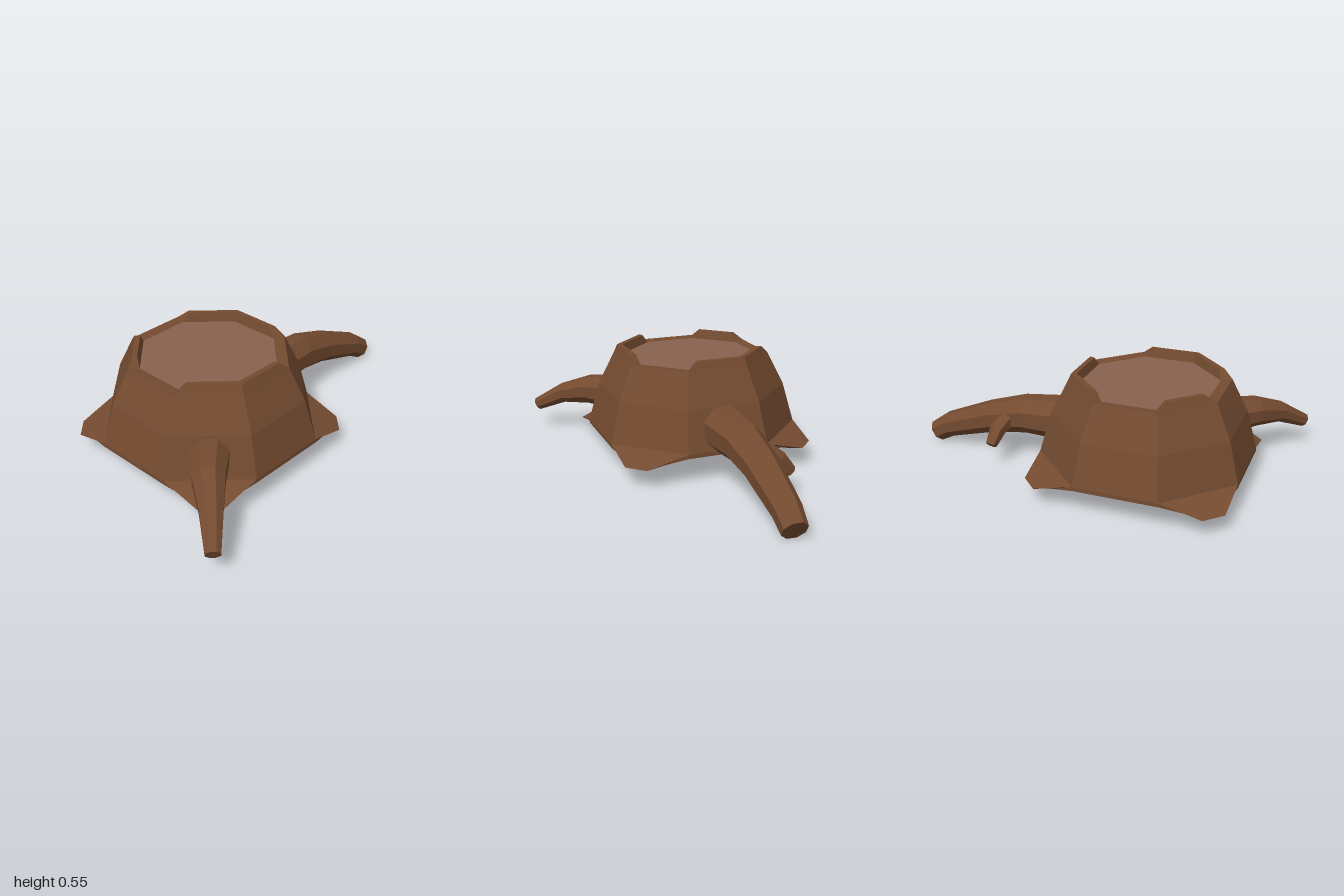
import * as THREE from 'three';

const bark = new THREE.MeshStandardMaterial({ color: 0x744b30, flatShading: true, side: THREE.DoubleSide });
bark.name = 'bark';
const wood = new THREE.MeshStandardMaterial({ color: 0x87634e, flatShading: true, side: THREE.DoubleSide });
wood.name = 'cutWood';

const CX = -0.23, CZ = -0.04, STEP = Math.PI / 4;
const corner = k => Math.PI / 6 + k * STEP;
// point on the octagonal stump: corner number, radius, height
const P = (k, r, y) => new THREE.Vector3(CX + r * Math.cos(corner(k)), y, CZ + r * Math.sin(corner(k)));

// faceted surface from convex polygons (each fanned into triangles)
function faceted(name, polygons, material) {
  const pts = [];
  for (const p of polygons)
    for (let i = 1; i < p.length - 1; i++) pts.push(p[0], p[i], p[i + 1]);
  const g = new THREE.BufferGeometry().setFromPoints(pts);
  g.computeVertexNormals();
  const m = new THREE.Mesh(g, material);
  m.name = name;
  return m;
}

// tapered eight-sided root through [x, y, z, radius] stations, open at the start, capped at the tip
function root(name, stations, sides = 8) {
  const c = stations.map(s => new THREE.Vector3(s[0], s[1], s[2]));
  const rings = c.map((p, i) => {
    const dir = c[Math.min(i + 1, c.length - 1)].clone().sub(c[Math.max(i - 1, 0)]).normalize();
    const side = new THREE.Vector3().crossVectors(dir, new THREE.Vector3(0, 1, 0)).normalize();
    const up = new THREE.Vector3().crossVectors(side, dir);
    return Array.from({ length: sides }, (_, j) => {
      const a = ((j + 0.5) / sides) * Math.PI * 2, r = stations[i][3];
      return p.clone().addScaledVector(side, r * Math.cos(a)).addScaledVector(up, r * Math.sin(a));
    });
  });
  const polys = [];
  for (let i = 0; i < rings.length - 1; i++)
    for (let j = 0; j < sides; j++) {
      const n = (j + 1) % sides;
      polys.push([rings[i][j], rings[i + 1][j], rings[i + 1][n], rings[i][n]].reverse());
    }
  polys.push(rings[rings.length - 1]);
  return faceted(name, polys, bark);
}

export function createModel() {
  const group = new THREE.Group();
  group.name = 'treeStump';

  // hollow trunk walls
  const levels = [[0.535, 0.14], [0.478, 0.34], [0.395, 0.505]];
  const walls = [];
  for (let i = 0; i < 2; i++)
    for (let k = 0; k < 8; k++) {
      const [r0, y0] = levels[i], [r1, y1] = levels[i + 1];
      walls.push([P(k, r0, y0), P(k, r1, y1), P(k + 1, r1, y1), P(k + 1, r0, y0)]);
    }
  group.add(faceted('trunk', walls, bark));

  // skirt: plain strip on odd sides, flared toe on even sides
  const skirt = [];
  for (let k = 0; k < 8; k++) {
    const a = P(k, 0.535, 0.14), b = P(k + 1, 0.535, 0.14);
    const la = P(k, 0.535, 0.12), lb = P(k + 1, 0.535, 0.12);
    if (k % 2) { skirt.push([la, a, b, lb]); continue; }
    const mid = corner(k + 0.5), cos = Math.cos(mid), sin = Math.sin(mid);
    const T = (d, w, y) => new THREE.Vector3(CX + d * cos - w * sin, y, CZ + d * sin + w * cos);
    const s0 = T(0.555, -0.105, 0.095), s1 = T(0.555, 0.105, 0.095);
    const t0 = T(0.63, -0.058, 0.088), t1 = T(0.63, 0.058, 0.088);
    skirt.push([la, a, s0], [s0, a, t0], [a, b, t1, t0], [b, s1, t1], [b, lb, s1]);
  }
  group.add(faceted('toes', skirt, bark));

  // broken rim: raised runs of sides with slanted ends, flat ledges between them
  const rim = [];
  const profile = [[0.395, 0.505], [0.377, 0.545], [0.35, 0.545], [0.338, 0.5]];
  for (const [first, last] of [[-2, 0], [1, 3], [4, 5]]) {
    const sections = [];
    for (let k = first; k <= last; k++)
      sections.push(profile.map(([r, y], i) => {
        const p = P(k, r, y);
        const raised = i === 1 || i === 2;
        if (raised && k === first) p.lerp(P(k + 1, r, y), 0.15);
        if (raised && k === last) p.lerp(P(k - 1, r, y), 0.15);
        return p;
      }));
    for (let s = 0; s < sections.length - 1; s++)
      for (let i = 0; i < 3; i++) {
        const A = sections[s], B = sections[s + 1];
        rim.push([A[i], A[i + 1], B[i + 1], B[i]]);
      }
    rim.push(sections[0].slice().reverse(), sections[sections.length - 1]);
  }
  for (const k of [0, 3, 5])
    rim.push([P(k, 0.395, 0.505), P(k, 0.338, 0.5), P(k + 1, 0.338, 0.5), P(k + 1, 0.395, 0.505)]);
  group.add(faceted('rim', rim, bark));

  // cut top
  const top = Array.from({ length: 8 }, (_, k) => P(-k, 0.338, 0.5));
  group.add(faceted('cutTop', [top], wood));

  // roots
  group.add(root('longRoot', [
    [0.17, 0.235, 0.02, 0.118], [0.43, 0.228, 0.045, 0.1], [0.62, 0.183, 0.07, 0.085],
    [0.88, 0.09, 0.115, 0.068], [0.962, 0.038, 0.132, 0.06],
  ]));
  group.add(root('rootTwig', [
    [0.515, 0.215, 0.0, 0.05], [0.55, 0.17, -0.065, 0.042], [0.567, 0.108, -0.122, 0.028],
  ], 6));
  group.add(root('shortRoot', [
    [-0.54, 0.24, 0.2, 0.1], [-0.72, 0.236, 0.33, 0.078],
    [-0.84, 0.2, 0.435, 0.055], [-0.968, 0.118, 0.54, 0.036],
  ]));
  return group;
}
